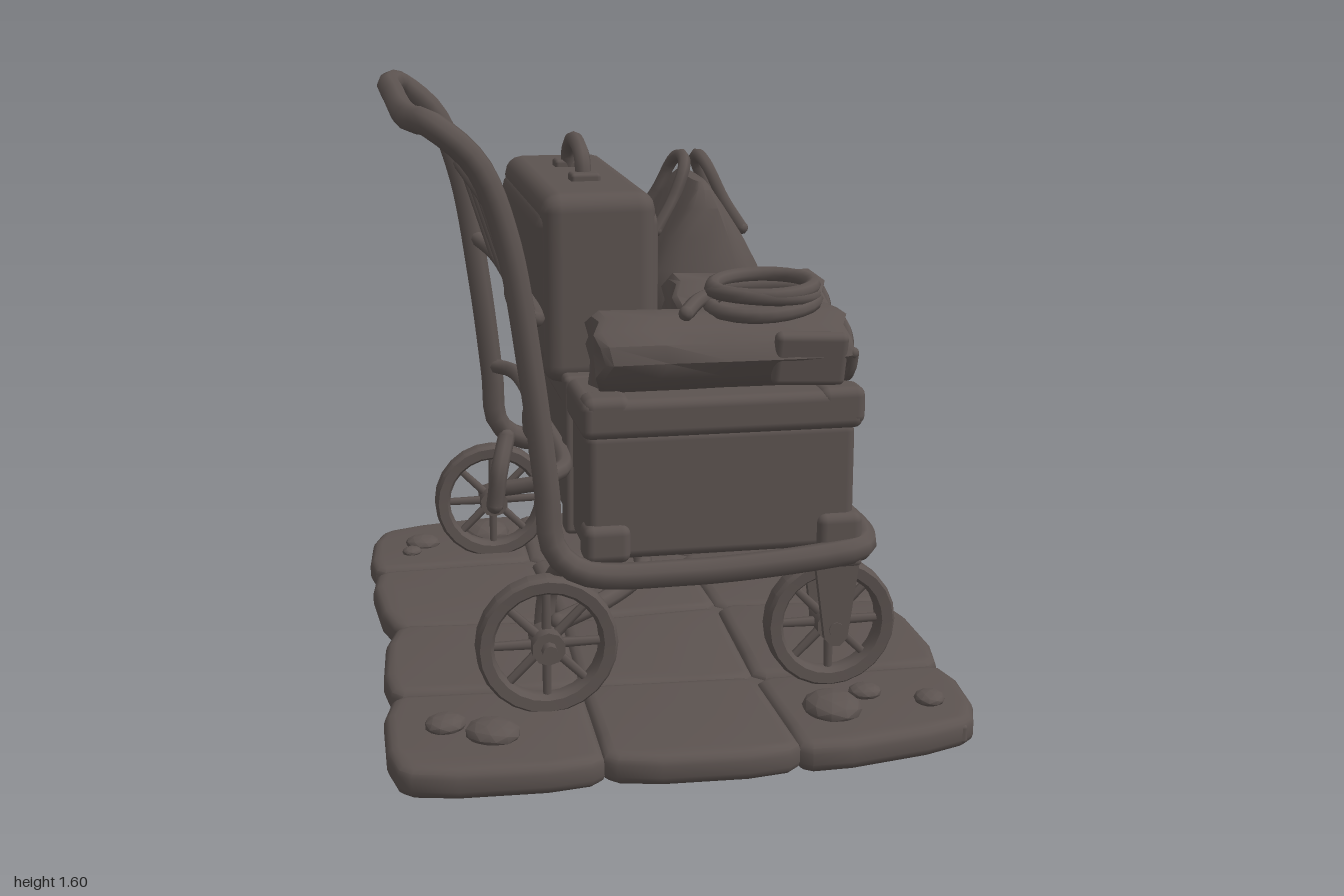
import * as THREE from 'three';
import { toCreasedNormals } from 'three/addons/utils/BufferGeometryUtils.js';
import { RoundedBoxGeometry } from 'three/addons/geometries/RoundedBoxGeometry.js';

const clay = new THREE.MeshStandardMaterial({ color: 0x5c5350 });
clay.name = 'dark warm grey';

const V = (p) => new THREE.Vector3(...p);

export function createModel() {
  const root = new THREE.Group();
  root.name = 'luggageTrolley';

  const add = (name, geo, pos = [0, 0, 0], rot = [0, 0, 0], parent = root) => {
    const m = new THREE.Mesh(geo, clay);
    m.name = name;
    m.position.set(...pos);
    m.rotation.set(...rot);
    parent.add(m);
    return m;
  };
  const box = (name, size, pos, r = 0.015, rot, parent) =>
    add(name, new RoundedBoxGeometry(...size, 2, r), pos, rot, parent);
  // Pipe through points, with ball ends when open
  const pipe = (name, pts, r, closed = false, seg = 40, sides = 8) => {
    const curve = new THREE.CatmullRomCurve3(pts.map(V), closed, 'centripetal');
    const m = add(name, new THREE.TubeGeometry(curve, seg, r, sides, closed));
    if (!closed) for (const p of [pts[0], pts[pts.length - 1]]) add(name + 'End', new THREE.SphereGeometry(r, 8, 6), p);
    return m;
  };
  // Skin rings of equal point count and cap both ends
  const loft = (rings, crease = 0.7) => {
    const n = rings[0].length, pos = rings.flat(2), idx = [];
    for (let i = 0; i < rings.length - 1; i++) for (let j = 0; j < n; j++) {
      const a = i * n + j, b = i * n + (j + 1) % n;
      idx.push(a, a + n, b, b, a + n, b + n);
    }
    [rings[0], rings[rings.length - 1]].forEach((ring, k) => {
      const c = pos.length / 3;
      for (let a = 0; a < 3; a++) pos.push(ring.reduce((s, p) => s + p[a], 0) / n);
      const o = k ? (rings.length - 1) * n : 0;
      for (let j = 0; j < n; j++) {
        const p = o + j, q = o + (j + 1) % n;
        if (k) idx.push(c, q, p); else idx.push(c, p, q);
      }
    });
    const g = new THREE.BufferGeometry();
    g.setAttribute('position', new THREE.Float32BufferAttribute(pos, 3));
    g.setIndex(idx);
    return toCreasedNormals(g, crease);
  };

  // Paving: irregular stones between wobbly grid corners [x, z]
  const grid = [
    [[-0.68, -0.89], [-0.23, -0.98], [0.23, -0.96], [0.73, -0.95]],
    [[-0.72, -0.5], [-0.24, -0.52], [0.23, -0.5], [0.74, -0.52]],
    [[-0.69, -0.02], [-0.22, 0.02], [0.24, -0.02], [0.73, 0.02]],
    [[-0.73, 0.47], [-0.24, 0.5], [0.22, 0.52], [0.73, 0.52]],
    [[-0.74, 0.93], [-0.25, 0.95], [0.23, 0.97], [0.7, 0.88]],
  ];
  const paving = new THREE.Group();
  paving.name = 'paving';
  root.add(paving);
  for (let r = 0; r < 4; r++) for (let c = 0; c < 3; c++) {
    const q = [grid[r][c], grid[r][c + 1], grid[r + 1][c + 1], grid[r + 1][c]];
    const bulge = [r === 0, c === 2, r === 3, c === 0];
    const mid = [0, 1].map((a) => q.reduce((s, p) => s + p[a] / 4, 0));
    const pts = [];
    q.forEach((p, i) => {
      const n = q[(i + 1) % 4], out = bulge[i] ? 0.09 : 0;
      const mix = (t, o) => [0, 1].map((a) => {
        const e = p[a] + (n[a] - p[a]) * t;
        return e + (e - mid[a]) * o;
      });
      pts.push(mix(0.06, 0), mix(0.3, out), mix(0.7, out), mix(0.94, 0));
    });
    const shape = new THREE.Shape(pts.map((p) => new THREE.Vector2(...p)));
    const g = new THREE.ExtrudeGeometry(shape, { depth: 0.03, bevelSize: 0.03, bevelThickness: 0.025, bevelOffset: -0.028, bevelSegments: 3 });
    g.rotateX(Math.PI / 2);
    add('pavingStone', toCreasedNormals(g, 0.7), [0, 0.055 - 0.004 * ((r + c) % 2), 0], [0, 0, 0], paving);
  }
  box('pavingBed', [1.36, 0.05, 1.78], [0, 0.035, 0], 0.01, undefined, paving);

  // Loose pebbles [x, z, radius]
  [[-0.35, -0.79, 0.075], [-0.56, -0.72, 0.05], [-0.6, -0.64, 0.03], [0.59, -0.68, 0.055], [0.53, -0.76, 0.03],
    [0.36, 0.77, 0.075], [0.47, 0.69, 0.04], [0.62, 0.76, 0.04], [-0.5, 0.77, 0.065], [-0.61, 0.7, 0.05]].forEach(([x, z, r], i) => {
    const m = add('pebble', toCreasedNormals(new THREE.IcosahedronGeometry(r, 1), 0.4), [x, 0.085, z], [0, i * 1.3, 0], paving);
    m.scale.set(1, 0.5, 1.1);
  });

  // Frame: one bent pipe from push handle, down the uprights and around the deck
  const half = [
    [-0.635, 1.54, 0.28], [-0.635, 1.555, 0.5], [-0.6, 1.55, 0.59], [-0.5, 1.46, 0.61], [-0.43, 1.28, 0.61],
    [-0.375, 0.95, 0.61], [-0.34, 0.65, 0.62], [-0.325, 0.5, 0.63], [-0.26, 0.44, 0.645], [0, 0.425, 0.655],
    [0.35, 0.445, 0.655], [0.46, 0.455, 0.635], [0.5, 0.455, 0.54]];
  const mirror = half.map(([x, y, z]) => [x, y, -z]).reverse();
  pipe('trolleyFrame', [[-0.635, 1.53, 0], ...half, [0.5, 0.445, 0], ...mirror], 0.034, true, 160);

  // Rails between the uprights
  pipe('upperRail', [[-0.43, 1.31, -0.6], [-0.43, 1.31, 0.6]], 0.02, false, 2);
  pipe('lowerRail', [[-0.395, 1.09, -0.61], [-0.35, 1.06, -0.52], [-0.345, 1.06, 0], [-0.35, 1.06, 0.52], [-0.395, 1.09, 0.61]], 0.022);
  for (const z of [-0.4, -0.2, 0, 0.2, 0.39]) pipe('railSlat', [[-0.43, 1.31, z], [-0.35, 1.06, z]], 0.016, false, 2, 6);
  pipe('middleRail', [[-0.34, 0.68, -0.61], [-0.29, 0.68, -0.54], [-0.28, 0.68, 0], [-0.29, 0.68, 0.54], [-0.34, 0.68, 0.61]], 0.023);
  pipe('lowBrace', [[-0.31, 0.29, -0.59], [-0.17, 0.32, -0.52], [-0.04, 0.32, -0.3], [-0.025, 0.32, 0],
    [-0.04, 0.32, 0.3], [-0.17, 0.32, 0.52], [-0.31, 0.29, 0.59]], 0.025);

  // Wheels with hubs, spokes and forks
  const wheel = (x, z, r, y) => {
    const w = new THREE.Group();
    w.name = 'wheel';
    w.position.set(x, y, z);
    root.add(w);
    const rim = [[-0.045, -0.015], [-0.036, -0.03], [-0.008, -0.032], [0, -0.02], [0, 0.02], [-0.008, 0.032], [-0.036, 0.03], [-0.045, 0.015], [-0.045, -0.015]];
    add('tyre', toCreasedNormals(new THREE.LatheGeometry(rim.map(([a, b]) => new THREE.Vector2(r + a, b)), 24), 0.6), [0, 0, 0], [Math.PI / 2, 0, 0], w);
    add('hub', new THREE.CylinderGeometry(0.043, 0.043, 0.09, 10), [0, 0, 0], [Math.PI / 2, 0, 0], w);
    add('axle', new THREE.CylinderGeometry(0.02, 0.02, 0.15, 8), [0, 0, 0], [Math.PI / 2, 0, 0], w);
    for (let i = 0; i < 8; i++) {
      const a = (i * Math.PI) / 4;
      const l = r - 0.03;
      add('spoke', new THREE.CylinderGeometry(0.011, 0.014, l, 6), [-Math.sin(a) * l / 2, Math.cos(a) * l / 2, 0], [0, 0, a], w);
    }
  };
  for (const s of [-1, 1]) {
    wheel(-0.345, s * 0.62, 0.18, 0.247);
    wheel(0.4, s * 0.585, 0.172, 0.245);
    const forkShape = new THREE.Shape([[-0.06, 0.2], [0.06, 0.2], [0.03, -0.02], [0.012, -0.04], [-0.012, -0.04], [-0.03, -0.02]].map((p) => new THREE.Vector2(...p)));
    for (const o of [-0.06, 0.06]) add('frontFork', new THREE.ExtrudeGeometry(forkShape, { depth: 0.022, bevelEnabled: false }), [0.4, 0.24, s * 0.585 + o - 0.011]);
    box('forkCrown', [0.13, 0.05, 0.15], [0.4, 0.435, s * 0.585], 0.015);
    pipe('rearFork', [[-0.3, 0.45, s * 0.61], [-0.33, 0.36, s * 0.55], [-0.345, 0.247, s * 0.555]], 0.027, false, 12);
  }

  // Large suitcase
  box('largeSuitcase', [0.69, 0.33, 1.24], [0.105, 0.62, 0.005], 0.025);
  box('largeSuitcaseLid', [0.72, 0.1, 1.28], [0.105, 0.822, 0.005], 0.025);
  for (const z of [-0.35, 0.36]) {
    box('suitcaseStrap', [0.74, 0.425, 0.065], [0.108, 0.665, z], 0.015);
    box('strapBuckle', [0.03, 0.07, 0.085], [0.475, 0.73, z], 0.01);
  }
  for (const z of [-0.48, 0.47]) box('latch', [0.04, 0.1, 0.05], [0.46, 0.7, z], 0.01);
  box('centreLatch', [0.04, 0.11, 0.07], [0.465, 0.74, 0], 0.01);
  pipe('suitcaseHandle', [[0.44, 0.65, 0.19], [0.5, 0.64, 0.19], [0.53, 0.625, 0.13], [0.535, 0.62, 0], [0.53, 0.625, -0.13], [0.5, 0.64, -0.19], [0.44, 0.65, -0.19]], 0.024, false, 30);
  for (const z of [-0.19, 0.19]) box('handleMount', [0.07, 0.075, 0.06], [0.47, 0.635, z], 0.015);
  for (const x of [-0.19, 0.41]) for (const y of [0.5, 0.83]) for (const z of [-0.585, 0.595])
    box('cornerGuard', [0.12, 0.1, 0.1], [x, y, z], 0.025);

  // Upright case
  box('uprightCase', [0.3, 0.5, 0.87], [-0.155, 1.09, -0.1], 0.05);
  box('uprightCaseSeam', [0.322, 0.42, 0.84], [-0.155, 1.09, -0.1], 0.05);
  pipe('uprightCaseHandle', [[-0.155, 1.32, 0.05], [-0.155, 1.39, 0.03], [-0.155, 1.42, -0.04], [-0.155, 1.425, -0.14],
    [-0.155, 1.39, -0.21], [-0.155, 1.32, -0.23]], 0.022, false, 24);
  for (const z of [0.06, -0.24]) box('caseHandleMount', [0.08, 0.03, 0.07], [-0.155, 1.345, z], 0.01);

  // Soft bag: rounded sections narrowing to a pinched top [y, half x, half z, centre z]
  const bag = [[0.86, 0.15, 0.23, -0.3], [0.89, 0.18, 0.262, -0.3], [0.97, 0.195, 0.27, -0.3], [1.06, 0.175, 0.255, -0.3],
    [1.15, 0.125, 0.235, -0.295], [1.23, 0.07, 0.215, -0.29], [1.28, 0.035, 0.19, -0.285], [1.3, 0.018, 0.15, -0.28]];
  add('softBag', loft(bag.map(([y, rx, rz, cz], k) => Array.from({ length: 20 }, (_, i) => {
    const a = (i / 20) * Math.PI * 2, f = (v) => Math.sign(v) * Math.abs(v) ** 0.6;
    const fold = 1 + 0.035 * Math.sin(i * 2.4 + k);
    return [0.21 + rx * f(Math.cos(a)) * fold, y, cz + rz * f(Math.sin(a))];
  }))));
  for (const s of [-1, 1]) {
    const p = (x, y, z) => [0.21 + s * x, y, z];
    pipe('bagHandle', [p(0.125, 1.16, -0.16), p(0.075, 1.24, -0.18), p(0.035, 1.33, -0.21), p(0.025, 1.355, -0.29),
      p(0.035, 1.33, -0.38), p(0.075, 1.24, -0.41), p(0.125, 1.16, -0.43)], 0.018, false, 30, 6);
  }

  // Rolled bundles lying along x, with a spiral fold at each open end
  const roll = (name, x0, x1, y, z, ry, rz) => {
    const rings = [0, 0.03, 0.25, 0.5, 0.75, 0.95, 1].map((t, k) => Array.from({ length: 14 }, (_, i) => {
      const a = (i / 14) * Math.PI * 2, e = t === 0 || t === 1 ? 0.9 : 1;
      const r = e * (1 + 0.06 * Math.cos(4 * a + 0.8) + 0.025 * Math.sin(i * 2 + k * 1.7));
      return [x0 + (x1 - x0) * t + 0.012 * Math.sin(i * 2.1), y + ry * r * Math.sin(a), z - rz * r * Math.cos(a)];
    }));
    add(name, loft(rings.map((r) => r.slice().reverse())));
    const fold = Array.from({ length: 22 }, (_, i) => {
      const a = i * 0.6, q = 0.2 + 0.65 * (i / 21);
      return [x1 + 0.004, y + ry * q * Math.sin(a), z + rz * q * Math.cos(a)];
    });
    pipe(name + 'Fold', fold, 0.016, false, 50, 6);
  };
  roll('frontRoll', -0.2, 0.44, 0.955, 0.48, 0.1, 0.135);
  roll('shortRoll', 0.06, 0.47, 0.97, 0.17, 0.115, 0.14);
  box('looseFlap', [0.19, 0.14, 0.04], [0.33, 0.95, 0.6], 0.018, [0.15, 0, -0.05]);

  // Coiled belt resting on the front roll
  [[0.135, 1.075, 0.08], [0.13, 1.098, -0.06], [0.128, 1.115, 0.03]].forEach(([r, y, tilt]) =>
    add('coiledBelt', new THREE.TorusGeometry(r, 0.02, 8, 24), [0.24, y, 0.465], [Math.PI / 2 + tilt, tilt, 0]));
  pipe('beltTail', [[0.12, 1.09, 0.43], [0.07, 1.08, 0.47], [0.03, 1.06, 0.52]], 0.02, false, 8);

  return root;
}
